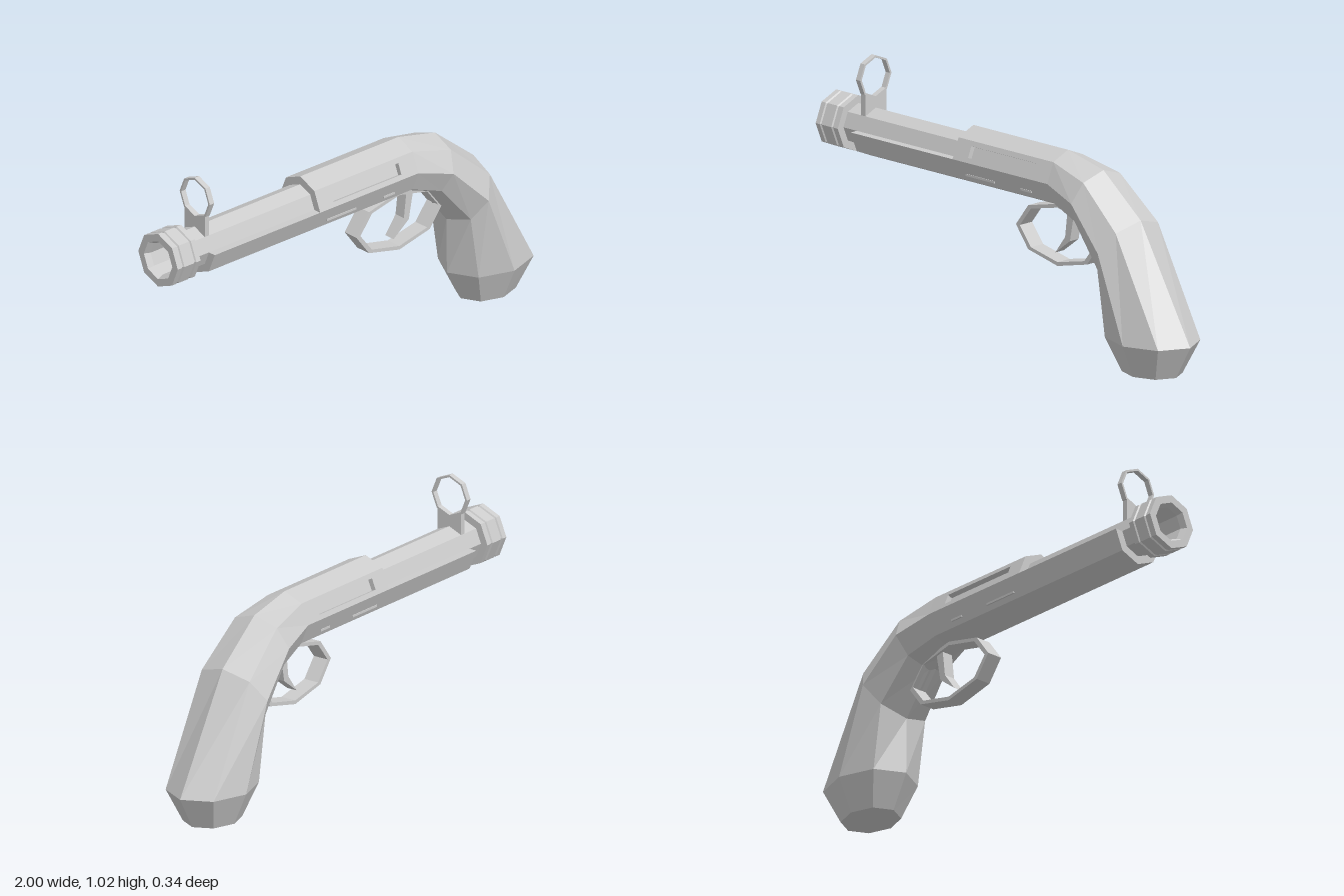
import * as THREE from 'three';

const mat = new THREE.MeshStandardMaterial({ color: 0xcccccc, flatShading: true, side: THREE.DoubleSide });
const AXIS = 0.716, R = 0.12;
const START = -0.225, BEND = 0.31;

function add(parent, name, geometry) {
  const mesh = new THREE.Mesh(geometry, mat);
  mesh.name = name;
  parent.add(mesh);
  return mesh;
}

// Points of an eight-sided ellipse with a corner at the top
function octagon(cx, cy, rx, ry) {
  return Array.from({ length: 8 }, (_, k) => {
    const a = (k * Math.PI) / 4;
    return new THREE.Vector2(cx + rx * Math.sin(a), cy + ry * Math.cos(a));
  });
}

function extrude(shape, depth) {
  return new THREE.ExtrudeGeometry(shape, { depth, bevelEnabled: false });
}

// Extrude a shape drawn in (z, y) along x
function extrudeAlongX(shape, x0, x1) {
  return extrude(shape, x1 - x0).rotateY(Math.PI / 2).translate(x0, 0, 0);
}

// Eight-sided loft through sections: [top x, top y, bottom x, bottom y, half width]
function bodyGeometry(sections) {
  const pos = [], index = [];
  for (const [tx, ty, bx, by, w] of sections) {
    for (let k = 0; k < 8; k++) {
      const a = (k * Math.PI) / 4, c = Math.cos(a) / 2;
      pos.push((tx + bx) / 2 + (tx - bx) * c, (ty + by) / 2 + (ty - by) * c, w * Math.sin(a));
    }
  }
  const last = (sections.length - 1) * 8;
  for (let s = 0; s < last; s += 8) {
    for (let k = 0; k < 8; k++) {
      // the slotted facets of the receiver are separate panels
      if (s === 0 && (k === 1 || k === 6)) continue;
      const a = s + k, b = s + ((k + 1) % 8);
      index.push(a, b, b + 8, a, b + 8, a + 8);
    }
  }
  // end caps
  for (let k = 1; k < 7; k++) {
    index.push(0, k + 1, k, last, last + k, last + k + 1);
  }
  const g = new THREE.BufferGeometry();
  g.setAttribute('position', new THREE.Float32BufferAttribute(pos, 3));
  g.setIndex(index);
  g.computeVertexNormals();
  return g;
}

function rectangle(Type, x0, x1, y0, y1) {
  return new Type([[x0, y0], [x1, y0], [x1, y1], [x0, y1]].map(p => new THREE.Vector2(...p)));
}

export function createModel() {
  const model = new THREE.Group();
  model.name = 'pistol';

  // Receiver flowing into the curved grip
  add(model, 'receiverAndGrip', bodyGeometry([
    [START, AXIS + R, START, AXIS - R, R],
    [BEND, AXIS + R, BEND, AXIS - R, R],
    [0.51, 0.79, 0.44, 0.55, 0.15],
    [0.72, 0.62, 0.573, 0.38, 0.172],
    [1.0, 0.14, 0.575, 0.14, 0.172],
    [0.92, 0, 0.65, 0, 0.11],
  ]));

  // Slotted panels on the upper side facets
  const tilt = Math.PI / 8;
  const apothem = R * Math.cos(tilt), half = R * Math.sin(tilt);
  for (const s of [1, -1]) {
    const side = new THREE.Group();
    side.name = s > 0 ? 'leftSlot' : 'rightSlot';
    side.position.y = AXIS;
    if (s < 0) side.rotation.y = Math.PI;
    const tilted = new THREE.Group();
    tilted.rotation.x = -tilt;
    side.add(tilted);
    const mid = s * (START + BEND) / 2, len = (BEND - START) / 2;
    const slotMid = s * 0.04;
    const shape = rectangle(THREE.Shape, mid - len, mid + len, -half, half);
    shape.holes.push(rectangle(THREE.Path, slotMid - 0.185, slotMid + 0.185, -0.025, 0.024));
    add(tilted, 'slotPanel', extrude(shape, 0.022).translate(0, 0, apothem - 0.022));
    add(tilted, 'slotFloor', new THREE.PlaneGeometry(0.38, 0.06).translate(slotMid, 0, apothem - 0.0215));
    model.add(side);
  }

  // Thin ledges on the lower facets
  for (const [x0, x1] of [[-0.17, -0.01], [0.14, 0.2]]) {
    add(model, 'sideLedge', new THREE.BoxGeometry(x1 - x0, 0.009, 0.2)
      .translate((x0 + x1) / 2, 0.657, 0));
  }

  // Hollow barrel with a grooved muzzle
  const profile = [
    [0.085, 0.22], [0.085, 0.875], [0.118, 0.875], [0.118, 0.898], [0.112, 0.902], [0.112, 0.908],
    [0.118, 0.912], [0.118, 0.963], [0.112, 0.967], [0.112, 0.973], [0.118, 0.977], [0.118, 1.0],
    [0.085, 1.0], [0.072, 0.975], [0.072, 0.4], [0, 0.4],
  ].map(p => new THREE.Vector2(...p));
  add(model, 'barrel', new THREE.LatheGeometry(profile, 8).rotateZ(Math.PI / 2).translate(0, AXIS, 0));

  // Fore-end: lower half of the octagon
  const lower = octagon(0, AXIS, R, R).slice(2, 7);
  add(model, 'foreEnd', extrudeAlongX(new THREE.Shape(lower), -0.8, START));

  // Ring sight on its post
  const ring = new THREE.Shape(octagon(0, 0.93, 0.09, 0.09));
  ring.holes.push(new THREE.Path(octagon(0, 0.93, 0.081, 0.081)));
  add(model, 'sightRing', extrudeAlongX(ring, -0.8, -0.776));
  const post = new THREE.Shape([[-0.06, 0.765], [0.06, 0.765], [0.06, 0.866], [0, 0.842], [-0.06, 0.866]]
    .map(p => new THREE.Vector2(...p)));
  add(model, 'sightPost', extrudeAlongX(post, -0.8, -0.776));

  // Trigger guard
  const guard = new THREE.Shape(octagon(0.285, 0.482, 0.235, 0.13));
  guard.holes.push(new THREE.Path(octagon(0.285, 0.482, 0.213, 0.114)));
  add(model, 'triggerGuard', extrude(guard, 0.07).translate(0, 0, -0.035));

  // Trigger
  const trigger = new THREE.Shape([[0.335, 0.62], [0.375, 0.62], [0.345, 0.465], [0.262, 0.402], [0.318, 0.478]]
    .map(p => new THREE.Vector2(...p)));
  add(model, 'trigger', extrude(trigger, 0.05).translate(0, 0, -0.025));

  return model;
}
